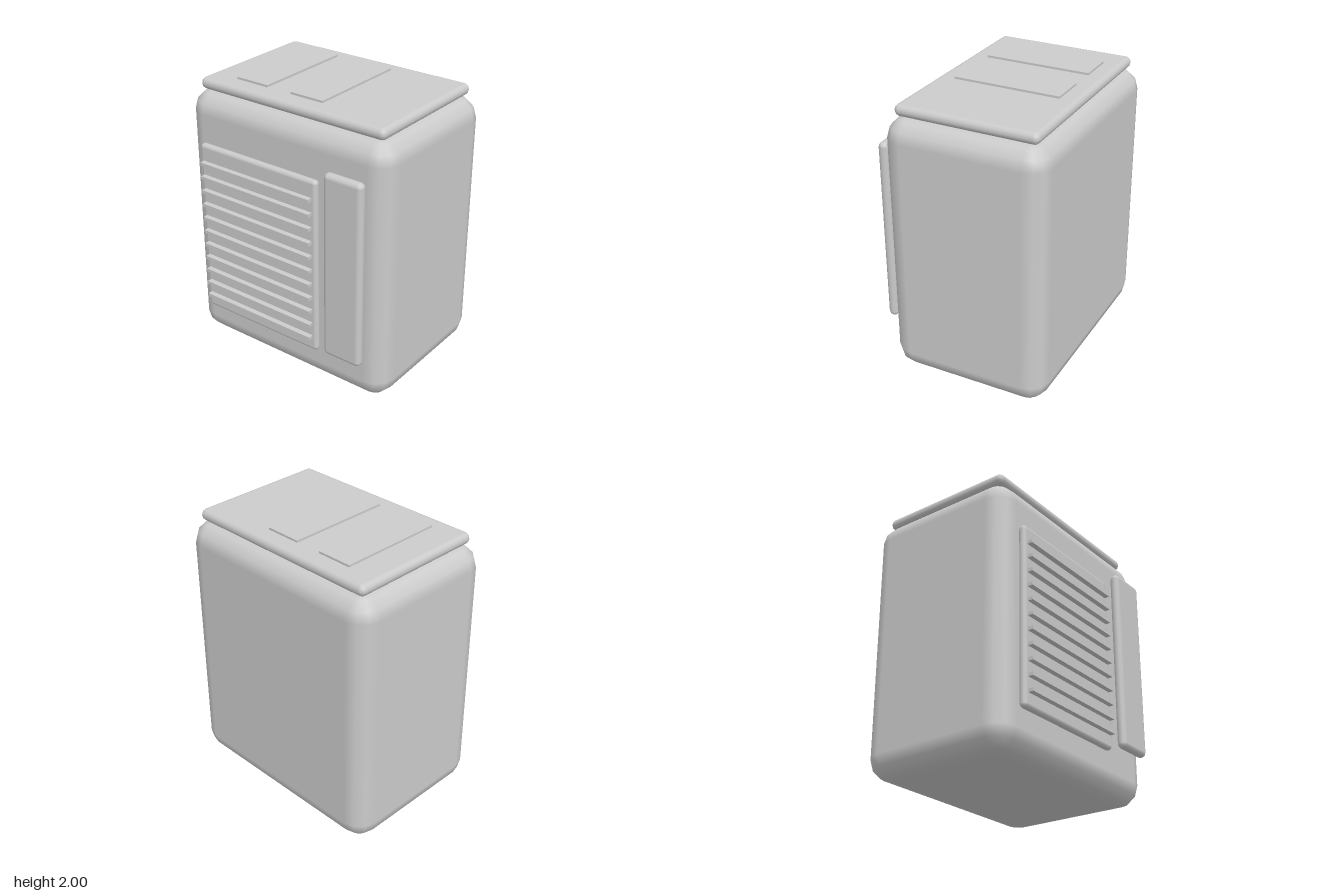
import * as THREE from 'three';

const material = new THREE.MeshStandardMaterial({ color: 0xcccccc });

// Box with edges rounded in `steps` facets: a sphere whose quadrants are pulled apart to the corners.
function roundedBox(w, h, d, r, steps = 3) {
  const n = steps + 1;                     // points per quadrant
  const cols = 4 * n, rows = 2 * n + 1;    // first and last rows collapse to the face centres
  const geo = new THREE.SphereGeometry(1, cols, rows);
  const pos = geo.attributes.position, nor = geo.attributes.normal;
  const cx = w / 2 - r, cy = h / 2 - r, cz = d / 2 - r;
  const quarter = Math.PI / 2;
  for (let iy = 0; iy <= rows; iy++) {
    const row = THREE.MathUtils.clamp(iy - 1, 0, 2 * n - 1);
    const lower = row >= n;
    const theta = quarter * ((lower ? 1 : 0) + (row % n) / steps);
    const spread = iy === 0 || iy === rows ? 0 : 1;
    for (let ix = 0; ix <= cols; ix++) {
      const col = ix % cols, q = Math.floor(col / n);
      const phi = quarter * (q + (col % n) / steps);
      const nx = -Math.cos(phi) * Math.sin(theta);
      const ny = Math.cos(theta);
      const nz = Math.sin(phi) * Math.sin(theta);
      const sx = q === 0 || q === 3 ? -1 : 1;
      const sz = q < 2 ? 1 : -1;
      const i = iy * (cols + 1) + ix;
      pos.setXYZ(i, spread * (sx * cx + nx * r), (lower ? -cy : cy) + ny * r, spread * (sz * cz + nz * r));
      nor.setXYZ(i, nx, ny, nz);
    }
  }
  return geo;
}

export function createModel() {
  const group = new THREE.Group();

  // Adds a box spanning the given ranges, rounded when a radius is given
  function addBox(name, [x0, x1], [y0, y1], [z0, z1], radius = 0) {
    const w = x1 - x0, h = y1 - y0, d = z1 - z0;
    const geo = radius ? roundedBox(w, h, d, radius) : new THREE.BoxGeometry(w, h, d);
    const mesh = new THREE.Mesh(geo, material);
    mesh.name = name;
    mesh.position.set((x0 + x1) / 2, (y0 + y1) / 2, (z0 + z1) / 2);
    group.add(mesh);
  }

  // Cabinet and lid
  addBox('body', [-0.832, 0.832], [0, 1.902], [-0.63, 0.528], 0.15);
  addBox('lid', [-0.757, 0.757], [1.903, 1.985], [-0.56, 0.458], 0.04);

  // Two flat strips on the lid
  addBox('topStripRight', [-0.526, -0.266], [1.975, 2], [-0.436, 0.329]);
  addBox('topStripLeft', [-0.068, 0.194], [1.975, 2], [-0.436, 0.329]);

  // Front grille with horizontal slats
  addBox('grillePanel', [-0.668, 0.33], [0.273, 1.566], [0.528, 0.584], 0.027);
  for (let i = 0; i < 11; i++) {
    const y = 0.385 + i * 0.105;
    addBox(`grilleSlat${i + 1}`, [-0.635, 0.298], [y - 0.012, y + 0.012], [0.57, 0.622]);
  }

  // Tall control panel beside the grille
  addBox('sidePanel', [0.414, 0.713], [0.32, 1.671], [0.555, 0.627], 0.035);

  return group;
}
